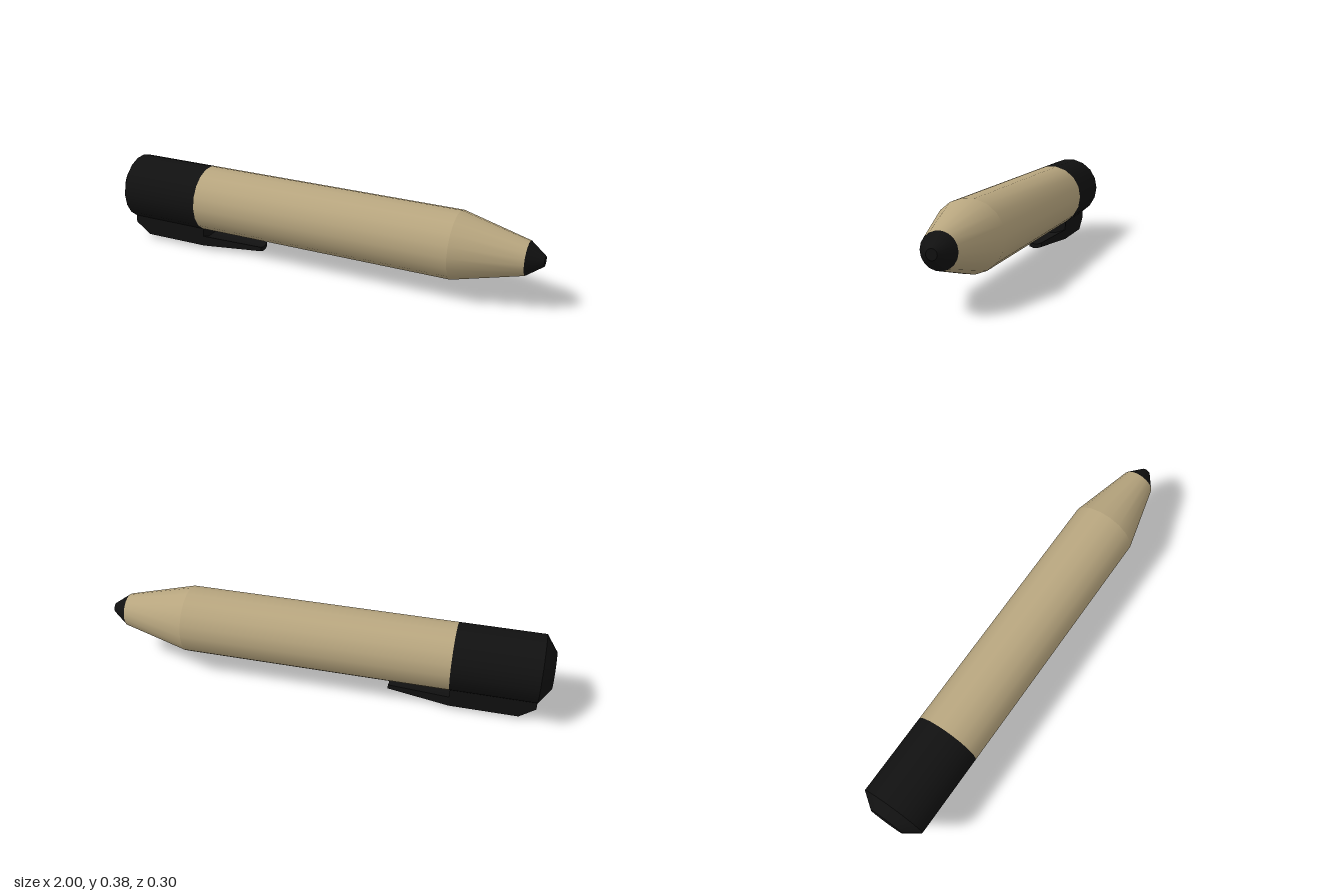
import * as THREE from 'three';
import { toCreasedNormals } from 'three/addons/utils/BufferGeometryUtils.js';

const SIDES = 18;
const AXIS_Y = 0.237;
const tan = new THREE.MeshStandardMaterial({ color: 0xb8a67f });
const black = new THREE.MeshStandardMaterial({ color: 0x111111 });

// Round segment lying along x, from x0 (radius r0) to x1 (radius r1)
function segment(name, x0, r0, x1, r1, material, open = true) {
  const geo = new THREE.CylinderGeometry(r1, r0, x1 - x0, SIDES, 1, open);
  geo.rotateZ(-Math.PI / 2);
  geo.translate((x0 + x1) / 2, AXIS_Y, 0);
  const mesh = new THREE.Mesh(geo, material);
  mesh.name = name;
  return mesh;
}

// Bowed cross-section: lower edge then upper edge, four points each.
// Outer points sit higher than the middle ones by "bow".
function section({ x, w, mid, bottom, top, bow }) {
  const zs = [-w, -mid, mid, w];
  const lift = [bow, 0, 0, bow];
  return [
    ...zs.map((z, i) => [x, bottom + lift[i], z]),
    ...zs.map((z, i) => [x, top + lift[i], -z]),
  ];
}

// Closed solid through a row of cross-sections
function loft(name, specs) {
  const rings = specs.map(section);
  const n = 8;
  const index = [];
  for (let i = 0; i < rings.length - 1; i++) {
    for (let j = 0; j < n; j++) {
      const k = (j + 1) % n;
      const a = i * n + j, b = i * n + k, c = b + n, d = a + n;
      index.push(a, d, c, a, c, b);
    }
  }
  const last = (rings.length - 1) * n;
  for (let j = 0; j < 3; j++) {
    const [a, b, c, d] = [j, j + 1, 6 - j, 7 - j];
    index.push(a, b, c, a, c, d);
    index.push(last + a, last + c, last + b, last + a, last + d, last + c);
  }
  const geo = new THREE.BufferGeometry();
  geo.setAttribute('position', new THREE.Float32BufferAttribute(rings.flat(2), 3));
  geo.setIndex(index);
  const mesh = new THREE.Mesh(toCreasedNormals(geo, Math.PI / 7), black);
  mesh.name = name;
  return mesh;
}

export function createModel() {
  const model = new THREE.Group();
  model.name = 'pen';

  // Barrel with tapered front and dark point
  model.add(
    segment('barrel', -0.575, 0.15, 0.63, 0.15, tan),
    segment('barrelTaper', 0.63, 0.15, 0.93, 0.074, tan),
    segment('tip', 0.93, 0.074, 1, 0.022, black, false),
  );

  // Cap with chamfered end
  model.add(
    segment('cap', -0.95, 0.15, -0.575, 0.15, black),
    segment('capEnd', -1, 0.08, -0.95, 0.15, black, false),
  );

  // Clip: block under the cap, then a thin arm narrowing toward the point
  const clip = new THREE.Group();
  clip.name = 'clip';
  const block = { w: 0.075, mid: 0.026, top: 0.12, bow: 0.018 };
  clip.add(
    loft('clipBase', [
      { ...block, x: -0.95, bottom: 0.055 },
      { ...block, x: -0.88, bottom: 0.002 },
      { ...block, x: -0.575, bottom: 0.002 },
    ]),
    loft('clipArm', [
      { x: -0.575, w: 0.075, mid: 0.026, bottom: 0.002, top: 0.05, bow: 0.018 },
      { x: -0.295, w: 0.03, mid: 0.011, bottom: 0.021, top: 0.041, bow: 0.007 },
    ]),
  );
  model.add(clip);
  return model;
}
